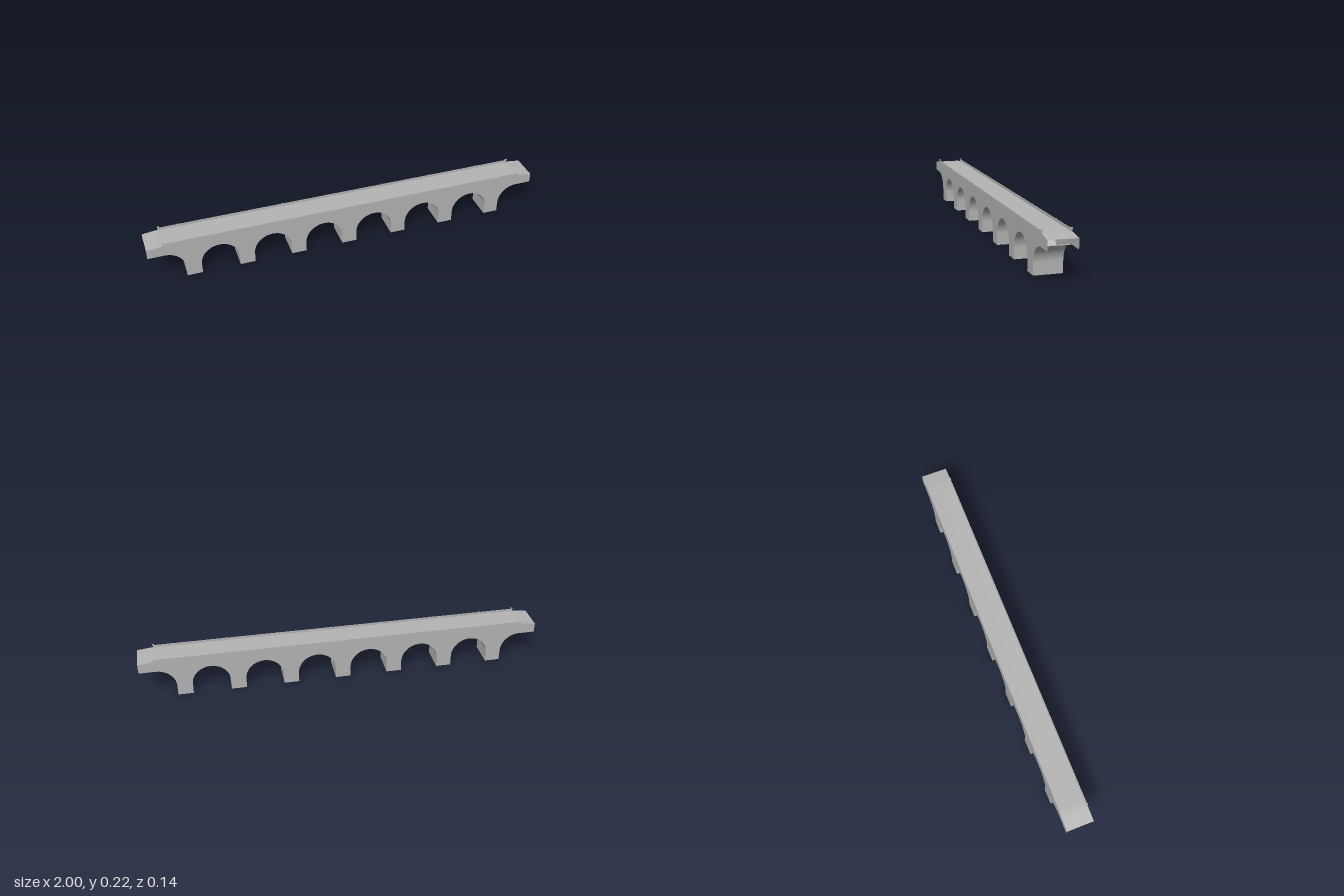
import * as THREE from 'three';

const HALF = 0.067;        // half width of the bridge
const SPACING = 0.2625;    // pier to pier
const PIER = 0.0375;       // half width of a pier
const CROWN = 0.148;       // top of the arches
const RADIUS = SPACING / 2 - PIER;
const SPRING = CROWN - RADIUS;
const RAIL_END = 0.92;

export function createModel() {
  const group = new THREE.Group();
  const stone = new THREE.MeshStandardMaterial({ color: 0xb4b4b4, side: THREE.DoubleSide });
  stone.name = 'stone grey';

  const add = (name, geometry, x = 0, y = 0, z = 0) => {
    const mesh = new THREE.Mesh(geometry, stone);
    mesh.name = name;
    mesh.position.set(x, y, z);
    group.add(mesh);
    return mesh;
  };
  const box = (name, w, h, d, x, y, z) => add(name, new THREE.BoxGeometry(w, h, d), x, y + h / 2, z);

  // Sheet across the bridge that follows a profile of [x, y] points
  const sheet = (points) => {
    const pos = [], index = [];
    points.forEach(([x, y], i) => {
      pos.push(x, y, HALF, x, y, -HALF);
      const a = i * 2;
      if (i) index.push(a - 2, a, a - 1, a, a + 1, a - 1);
    });
    const g = new THREE.BufferGeometry();
    g.setAttribute('position', new THREE.Float32BufferAttribute(pos, 3));
    g.setIndex(index);
    g.computeVertexNormals();
    return g;
  };

  // Underside of one opening, between two angles, with its upright pier faces
  const opening = (cx, from, to) => {
    const points = [];
    const steps = Math.round(20 * Math.abs(to - from) / Math.PI);
    if (from === 0) points.push([cx + RADIUS, 0]);
    for (let i = 0; i <= steps; i++) {
      const a = from + (to - from) * i / steps;
      points.push([cx + RADIUS * Math.cos(a), SPRING + RADIUS * Math.sin(a)]);
    }
    if (to === Math.PI) points.push([cx - RADIUS, 0]);
    return points;
  };

  // Six full arches and a half arch at each end
  const openings = [];
  openings.push(opening(4 * SPACING - SPACING / 2, Math.PI / 2, Math.PI));
  for (let i = 2; i >= -3; i--) openings.push(opening((i + 0.5) * SPACING, 0, Math.PI));
  openings.push(opening(-3.5 * SPACING, 0, Math.PI / 2));
  openings.forEach((points) => add('archVault', sheet(points)));

  // Roadway, gently ramped at both ends
  const ramp = [[-1, 0.196], [-0.97, 0.199], [-0.94, 0.203], [-0.9, 0.2055]];
  const road = [...ramp, ...ramp.map(([x, y]) => [-x, y]).reverse()];
  add('roadway', sheet(road));

  // Side walls pierced by the arches
  const outline = [...road, [1, CROWN], ...openings.flat(), [-1, CROWN]];
  const wall = new THREE.ShapeGeometry(new THREE.Shape(outline.map(([x, y]) => new THREE.Vector2(x, y))));
  for (const side of [1, -1]) {
    add('sideWall', wall, 0, 0, side * HALF).rotation.y = side > 0 ? 0 : Math.PI;

    // Parapet with capped end posts and small posts along it
    const z = side * (HALF - 0.0025);
    box('parapet', RAIL_END * 2, 0.012, 0.004, 0, 0.204, z);
    for (const end of [1, -1]) {
      box('endPost', 0.006, 0.016, 0.005, end * RAIL_END, 0.203, z);
      box('endPostCap', 0.009, 0.004, 0.009, end * RAIL_END, 0.218, side * (HALF - 0.0035));
    }
    for (let i = -3; i <= 3; i++) {
      box('railPost', 0.006, 0.015, 0.005, side * (i * SPACING + 0.043), 0.203, z);
    }
  }
  return group;
}
